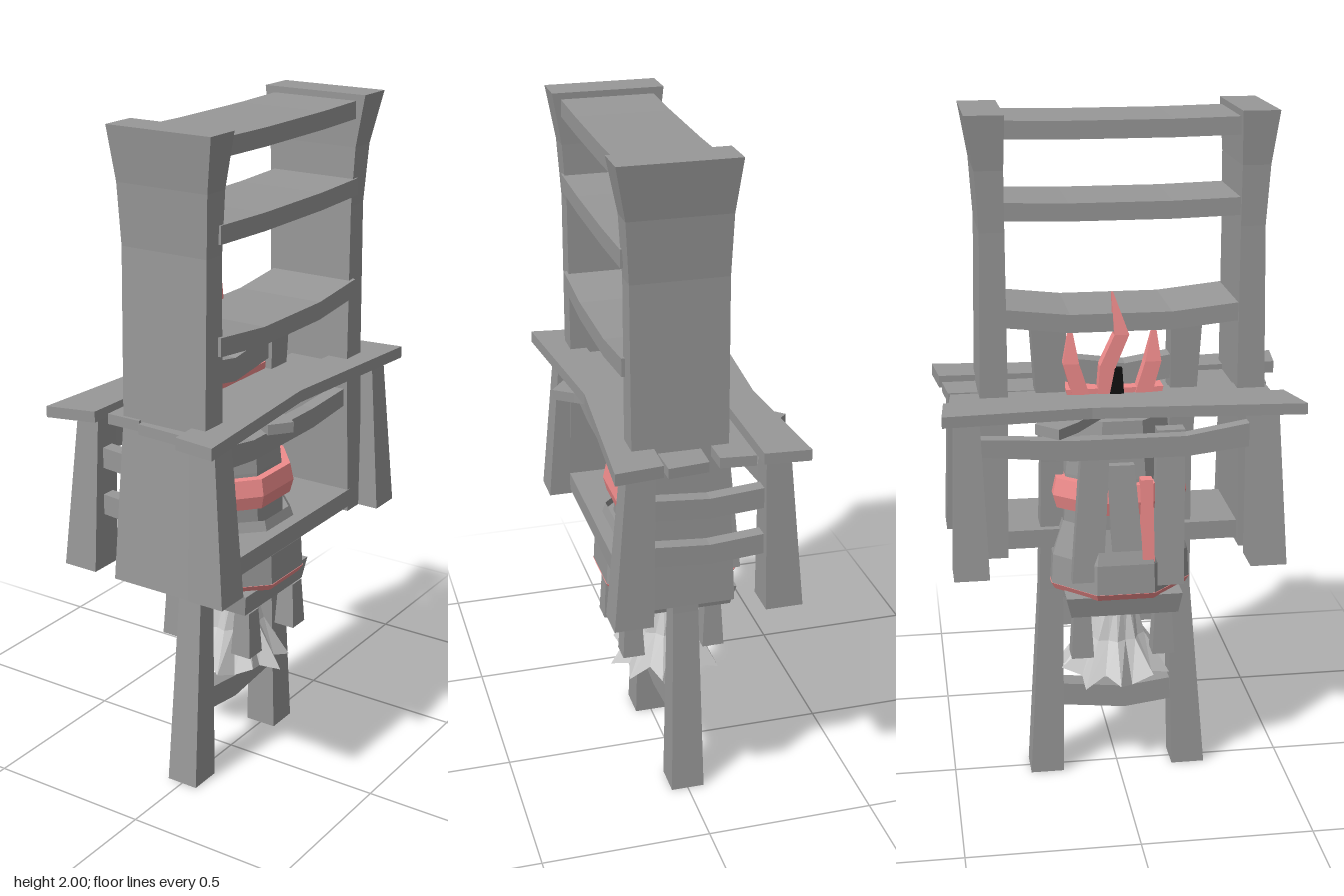
import * as THREE from 'three';

const paint = color => new THREE.MeshStandardMaterial({ color, flatShading: true, side: THREE.DoubleSide });
const wood = paint(0x989898);
const cloth = paint(0xcccccc);
const red = paint(0xf08c8c);
const black = paint(0x111111);

export function createModel() {
  const root = new THREE.Group();

  const add = (name, geometry, material = wood) => {
    geometry.computeVertexNormals();
    const mesh = new THREE.Mesh(geometry, material);
    mesh.name = name;
    root.add(mesh);
  };

  // Hewn beam: rectangular sections [t, a0, a1, b0, b1] along an axis;
  // a and b are the other two axes in x, y, z order.
  const beam = (name, axis, sections, material) => {
    const n = sections.length - 1;
    const seg = [1, 1, 1];
    seg[axis] = n;
    const others = [0, 1, 2].filter(i => i !== axis);
    const g = new THREE.BoxGeometry(1, 1, 1, ...seg);
    const p = g.attributes.position;
    for (let i = 0; i < p.count; i++) {
      const v = [p.getX(i), p.getY(i), p.getZ(i)];
      const s = sections[Math.round((v[axis] + 0.5) * n)];
      const out = [0, 0, 0];
      out[axis] = s[0];
      others.forEach((o, k) => { out[o] = s[1 + 2 * k + (v[o] > 0 ? 1 : 0)]; });
      p.setXYZ(i, ...out);
    }
    add(name, g, material);
  };

  // Flat board with an [x, z] outline
  const board = (name, outline, y0, y1) => {
    const shape = new THREE.Shape(outline.map(([x, z]) => new THREE.Vector2(x, -z)));
    const g = new THREE.ExtrudeGeometry(shape, { depth: y1 - y0, bevelEnabled: false });
    add(name, g.rotateX(-Math.PI / 2).translate(0, y0, 0));
  };

  // Bookcase side panels, flared at the top
  beam('bookcaseFrontPanel', 1, [
    [0.73, -0.09, 0.21, 0.35, 0.45], [1.2, -0.07, 0.2, 0.34, 0.42],
    [1.68, -0.07, 0.2, 0.34, 0.41], [1.85, -0.075, 0.21, 0.34, 0.42], [2, -0.09, 0.235, 0.335, 0.44]]);
  beam('bookcaseBackPanel', 1, [
    [0.73, -0.09, 0.21, -0.41, -0.33], [1.2, -0.07, 0.2, -0.4, -0.32],
    [1.68, -0.07, 0.2, -0.39, -0.32], [1.85, -0.075, 0.21, -0.4, -0.32], [2, -0.09, 0.24, -0.425, -0.315]]);

  // Sagging shelves: bottom, top, sag
  for (const [y0, y1, sag] of [[1.932, 1.982, 0.004], [1.71, 1.76, 0.006], [1.41, 1.462, 0.022], [0.745, 0.8, 0]]) {
    beam('shelf', 2, [
      [-0.34, -0.06, 0.21, y0, y1], [-0.14, -0.06, 0.21, y0 - sag, y1 - sag],
      [0.15, -0.06, 0.21, y0 - sag, y1 - sag], [0.36, -0.06, 0.21, y0, y1]]);
  }

  // Table planks along z with crooked ends, and a pointed diagonal brace below
  board('tablePlankRight', [
    [-0.265, -0.515], [-0.135, -0.505], [-0.133, 0], [-0.137, 0.46], [-0.275, 0.497], [-0.235, -0.1]], 1.188, 1.22);
  board('tablePlankLeft', [
    [0.14, -0.505], [0.275, -0.52], [0.235, 0], [0.285, 0.515], [0.16, 0.5], [0.13, 0]], 1.185, 1.22);
  board('tablePlankInner', [[-0.12, -0.49], [-0.02, -0.48], [-0.01, 0.43], [-0.115, 0.43]], 1.18, 1.21);
  board('tablePlankInner', [[0.01, -0.485], [0.125, -0.497], [0.15, 0.45], [-0.005, 0.44]], 1.175, 1.205);
  board('diagonalBrace', [
    [-0.3, -0.2], [-0.24, -0.26], [0.245, 0.1], [0.3, 0.14], [0.255, 0.2], [-0.24, -0.14]], 1.152, 1.182);

  // Table legs, splayed toward the floor
  for (const [z0, z1, b0, b1] of [[0.35, 0.43, 0.35, 0.455], [-0.48, -0.41, -0.495, -0.395]]) {
    beam('tableLegRight', 1, [[0.735, -0.262, -0.155, b0, b1], [1.188, -0.22, -0.15, z0, z1]]);
    beam('tableLegLeft', 1, [[0.73, 0.165, 0.275, b0, b1], [1.185, 0.155, 0.235, z0, z1]]);
    // Arched rails across the table end
    const zc = (z0 + z1) / 2;
    for (const y of [1.07, 0.93]) {
      beam('endRail', 0, [
        [-0.19, y - 0.03, y + 0.03, zc - 0.02, zc + 0.02],
        [0, y - 0.045, y + 0.015, zc - 0.02, zc + 0.02],
        [0.19, y - 0.03, y + 0.03, zc - 0.02, zc + 0.02]]);
    }
  }
  for (const x of [-0.18, 0.17]) {
    beam('sideRail', 2, [
      [-0.43, x - 0.02, x + 0.02, 1.08, 1.13], [-0.15, x - 0.02, x + 0.02, 1.055, 1.115],
      [0.17, x - 0.02, x + 0.02, 1.055, 1.115], [0.38, x - 0.02, x + 0.02, 1.08, 1.15]]);
  }

  // Tall ladder frame: two posts joined by bowed rungs
  beam('frontPost', 1, [
    [0, -0.05, 0.05, 0.165, 0.265], [0.6, -0.038, 0.038, 0.15, 0.215],
    [1.0, -0.035, 0.035, 0.15, 0.215], [1.41, -0.045, 0.045, 0.15, 0.24]]);
  beam('backPost', 1, [
    [0, -0.05, 0.05, -0.27, -0.17], [0.6, -0.038, 0.038, -0.235, -0.165],
    [1.0, -0.035, 0.035, -0.225, -0.16], [1.41, -0.045, 0.045, -0.25, -0.15]]);
  for (const [y, bow] of [[0.245, -0.02], [0.6, 0], [1.27, -0.025]]) {
    beam('rung', 2, [
      [-0.17, -0.03, 0.03, y - 0.03, y + 0.04], [0.02, -0.03, 0.03, y - 0.03 + bow, y + 0.04 + bow],
      [0.17, -0.03, 0.03, y - 0.03, y + 0.04]]);
  }

  // Stool: slab seat on four short legs
  beam('stoolSeat', 1, [[0.56, -0.16, 0.155, -0.155, 0.16], [0.625, -0.175, 0.165, -0.17, 0.17]]);
  for (const x of [-0.11, 0.135]) for (const z of [-0.12, 0.12]) {
    beam('stoolLeg', 1, [
      [0.42, x - 0.033, x + 0.033, z - 0.033, z + 0.033], [0.56, x - 0.025, x + 0.025, z - 0.025, z + 0.025]]);
  }

  // Eight-sided barrel with red hoops
  const lathe = (name, profile, sx, material) => {
    const g = new THREE.LatheGeometry(profile.map(p => new THREE.Vector2(...p)), 8, Math.PI / 8);
    add(name, g.scale(sx, 1, 1), material);
  };
  lathe('barrel', [[0, 0.65], [0.18, 0.65], [0.175, 0.86], [0.17, 0.97], [0.15, 1.14], [0, 1.14]], 0.85);
  lathe('barrelBase', [[0.17, 0.64], [0.22, 0.64], [0.215, 0.73], [0.18, 0.83]], 0.98);
  lathe('lowerHoop', [[0, 0.622], [0.21, 0.622], [0.222, 0.642], [0, 0.642]], 0.98, red);
  lathe('upperHoop', [[0.16, 0.87], [0.2, 0.87], [0.212, 0.91], [0.2, 0.96], [0.16, 0.96]], 0.85, red);

  // Uneven staves and a red strip on the right side
  for (const [z, y0, y1, lean] of [[-0.11, 0.68, 1.1, 0.03], [0.01, 0.7, 1.02, -0.02], [0.125, 0.66, 1.12, 0.01]]) {
    beam('stave', 1, [
      [y0, -0.19, -0.15, z - 0.045, z + 0.045], [y1, -0.155, -0.11, z - 0.04 + lean, z + 0.04 + lean]]);
  }
  beam('redStrip', 1, [[0.68, -0.195, -0.16, 0.05, 0.085], [0.98, -0.175, -0.14, 0.045, 0.08]], red);

  // Three bent flames on a low bed, with a charred tip
  beam('flameBed', 1, [[1.2, -0.07, 0.02, -0.15, 0.12], [1.225, -0.07, 0.02, -0.155, 0.125]], red);
  const flames = [
    [[1.2, 0.065], [1.3, 0.095], [1.41, 0.1]],
    [[1.2, -0.04], [1.29, -0.035], [1.38, 0.005], [1.5, -0.02]],
    [[1.2, -0.11], [1.3, -0.14], [1.41, -0.14]],
  ];
  for (const path of flames) {
    beam('flame', 1, path.map(([y, z], i) => {
      const r = i === path.length - 1 ? 0.003 : 0.025 - i * 0.002;
      return [y, -0.05 - r, -0.05 + r, z - r, z + r];
    }), red);
  }
  beam('charredStick', 1, [[1.21, -0.08, -0.05, -0.03, 0.01], [1.285, -0.08, -0.06, -0.015, 0.005]], black);

  // Pleated cloth flaring out below the seat, with an uneven hem
  const skirt = new THREE.CylinderGeometry(1, 1, 1, 20, 2, true);
  const p = skirt.attributes.position;
  const radii = [0.06, 0.088, 0.15];
  for (let i = 0; i < p.count; i++) {
    const row = Math.round((0.5 - p.getY(i)) * 2);
    const a = Math.atan2(p.getZ(i), p.getX(i));
    const k = (Math.round(a / (Math.PI / 10)) + 20) % 20;
    const r = radii[row] * (1 + (k % 2 ? -0.09 : 0.1) * row * 0.75);
    const hem = row === 2 ? (k % 3) * 0.018 : 0;
    p.setXYZ(i, r * Math.cos(a), 0.57 - row * 0.128 + hem, r * Math.sin(a) - 0.01);
  }
  add('clothSkirt', skirt, cloth);

  return root;
}
